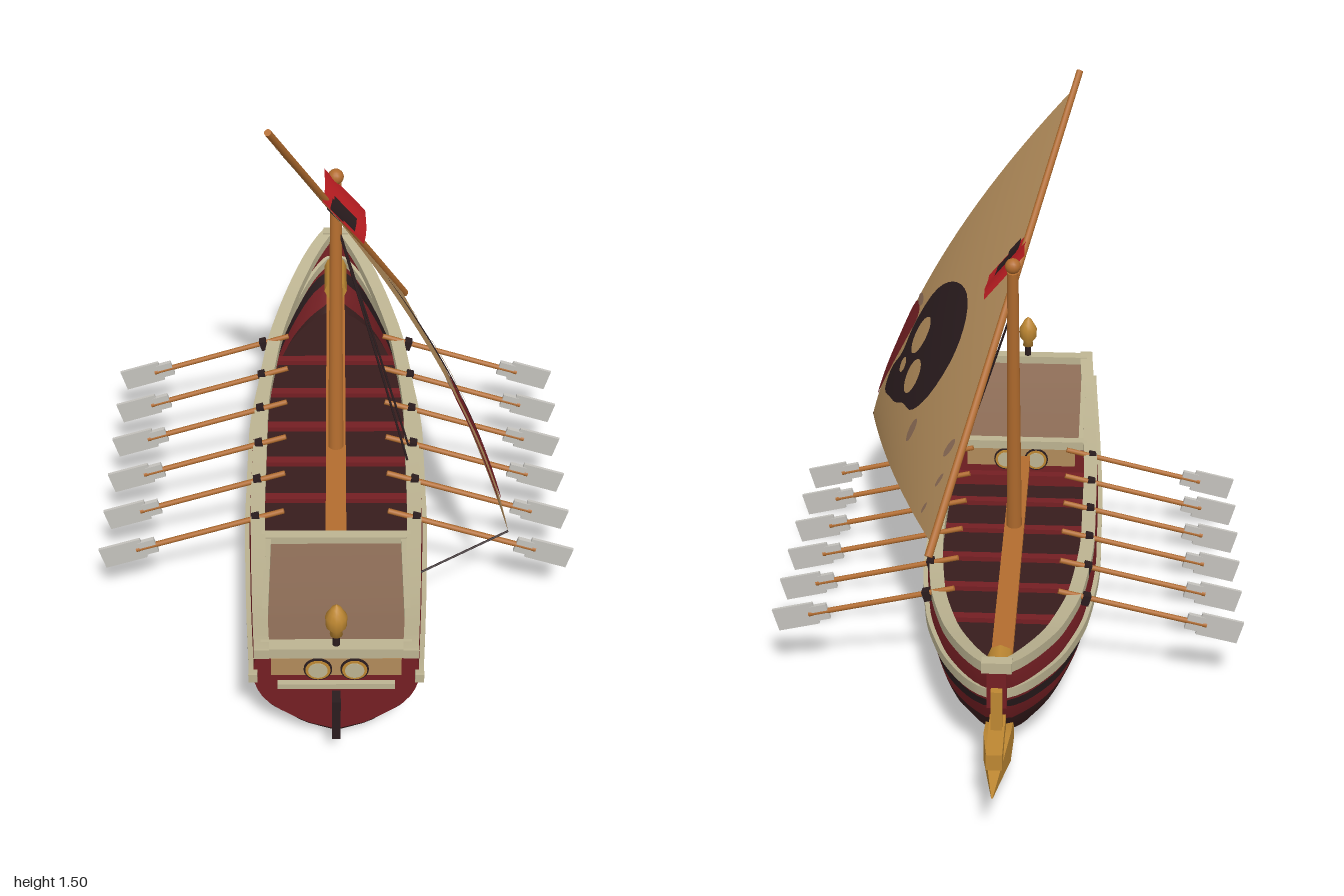
import * as THREE from 'three';
import { toCreasedNormals } from 'three/addons/utils/BufferGeometryUtils.js';

const paint = (name, color) => Object.assign(new THREE.MeshStandardMaterial({ color, side: THREE.DoubleSide }), { name });

// Smooth monotone interpolation through [position, value] pairs, ascending
function table(pts) {
  const slope = i => (pts[i + 1][1] - pts[i][1]) / (pts[i + 1][0] - pts[i][0]);
  const tangent = i => {
    if (i === 0) return slope(0);
    if (i === pts.length - 1) return slope(i - 1);
    const a = slope(i - 1), b = slope(i);
    return a * b <= 0 ? 0 : 2 * a * b / (a + b);
  };
  return p => {
    if (p <= pts[0][0]) return pts[0][1];
    if (p >= pts[pts.length - 1][0]) return pts[pts.length - 1][1];
    let i = 0;
    while (p > pts[i + 1][0]) i++;
    const d = pts[i + 1][0] - pts[i][0], t = (p - pts[i][0]) / d, u = 1 - t;
    return pts[i][1] * u * u * (1 + 2 * t) + pts[i + 1][1] * t * t * (3 - 2 * t)
      + d * t * u * (tangent(i) * u - tangent(i + 1) * t);
  };
}

// Surface from a rule f(u, v) -> [x, y, z]
function grid(nu, nv, f) {
  const pos = [], index = [];
  for (let i = 0; i <= nu; i++) for (let j = 0; j <= nv; j++) pos.push(...f(i / nu, j / nv));
  for (let i = 0; i < nu; i++) for (let j = 0; j < nv; j++) {
    const a = i * (nv + 1) + j, b = a + nv + 1;
    index.push(a, b, a + 1, b, b + 1, a + 1);
  }
  const g = new THREE.BufferGeometry();
  g.setAttribute('position', new THREE.Float32BufferAttribute(pos, 3));
  g.setIndex(index);
  g.computeVertexNormals();
  return g;
}

// Hull lines by z: half width, keel height, sheer height; section fullness by relative height
const STERN = 0.96, BOW = -0.79;
const halfWidth = table([[-0.79, 0.02], [-0.75, 0.05], [-0.65, 0.103], [-0.5, 0.16], [-0.3, 0.208], [0, 0.235], [0.3, 0.235], [0.6, 0.225], [0.8, 0.215], [0.96, 0.205]]);
const keel = table([[-0.79, 0.35], [-0.78, 0.3], [-0.75, 0.23], [-0.7, 0.15], [-0.63, 0.08], [-0.54, 0.02], [-0.45, 0.004], [0.8, 0.004], [0.87, 0.012], [0.92, 0.035], [0.96, 0.08]]);
const sheer = table([[-0.79, 0.39], [-0.7, 0.368], [-0.5, 0.325], [-0.2, 0.298], [0.2, 0.295], [0.5, 0.305], [0.75, 0.325], [0.96, 0.36]]);
const fullness = table([[0, 0], [0.1, 0.39], [0.17, 0.53], [0.33, 0.81], [0.5, 0.95], [0.67, 1], [0.83, 0.98], [1, 0.89]]);
const hullX = (y, z) => halfWidth(z) * fullness((y - keel(z)) / (sheer(z) - keel(z)));

// Sail corners and its bellied surface x(y, z)
const PEAK = [-0.15, 1.46, 0.405], TACK = [0.19, 0.475, -0.37], CLEW = [0.445, 0.37, 0.545];
function sailX(y, z) {
  const [, ya, za] = PEAK, [, yb, zb] = TACK, [, yc, zc] = CLEW;
  const d = (yb - yc) * (za - zc) + (zc - zb) * (ya - yc);
  const a = ((yb - yc) * (z - zc) + (zc - zb) * (y - yc)) / d;
  const b = ((yc - ya) * (z - zc) + (za - zc) * (y - yc)) / d;
  const c = 1 - a - b, t = a + b > 1e-5 ? b / (a + b) : 0;
  return a * PEAK[0] + b * TACK[0] + c * CLEW[0] + 0.32 * c * (1 - c) * (1 - 0.75 * t * t);
}

export function createModel() {
  const model = new THREE.Group();
  const red = paint('hull red', 0x741f23), bottom = paint('dark maroon', 0x371c1c), dark = paint('black brown', 0x2a1c1e),
    cream = paint('cream trim', 0xbcb391), wood = paint('orange wood', 0xb26c2e), gold = paint('gold', 0xbd8732),
    cloth = paint('sail cloth', 0xb18b5a), deckBrown = paint('deck brown', 0x8c6c56), grey = paint('blade grey', 0xc4c2bd),
    flagRed = paint('flag red', 0xbd1d22);

  const add = (name, geometry, material, x = 0, y = 0, z = 0, parent = model) => {
    const m = new THREE.Mesh(geometry, material);
    m.name = name;
    m.position.set(x, y, z);
    parent.add(m);
    return m;
  };
  const box = (name, w, h, d, material, x, y, z, parent) => add(name, new THREE.BoxGeometry(w, h, d), material, x, y, z, parent);
  const rod = (name, from, to, r0, r1, material, sides = 10) => {
    const a = new THREE.Vector3(...from), b = new THREE.Vector3(...to), dir = b.clone().sub(a);
    const m = add(name, new THREE.CylinderGeometry(r1, r0, dir.length(), sides), material);
    m.position.copy(a.add(b).multiplyScalar(0.5));
    m.quaternion.setFromUnitVectors(new THREE.Vector3(0, 1, 0), dir.normalize());
    return m;
  };

  // Hull planking in painted bands, both sides
  const waterline = z => 0.15 + 0.4 * Math.max(0, sheer(z) - 0.3);
  const bands = [
    ['hullBottom', keel, waterline, 10, bottom],
    ['lowerPlanking', waterline, z => sheer(z) - 0.14, 2, red],
    ['darkStripe', z => sheer(z) - 0.14, z => sheer(z) - 0.113, 1, dark],
    ['upperPlanking', z => sheer(z) - 0.113, sheer, 4, red],
  ];
  for (const side of [1, -1]) {
    for (const [name, low, high, rows, material] of bands) {
      add(name, grid(60, rows, (u, v) => {
        const z = THREE.MathUtils.lerp(STERN, BOW, side > 0 ? u : 1 - u);
        const y0 = Math.max(keel(z), low(z)), y1 = Math.max(keel(z), high(z));
        const y = y0 + (y1 - y0) * v;
        return [side * hullX(y, z), y, z];
      }), material);
    }
    // Square-section rail and wale following the hull
    for (const [name, drop, w, h] of [['topRail', 0, 0.019, 0.014], ['wale', 0.083, 0.011, 0.013]]) {
      const corners = [[-1, -1], [1, -1], [1, 1], [-1, 1], [-1, -1]];
      add(name, toCreasedNormals(grid(60, 4, (u, v) => {
        const z = THREE.MathUtils.lerp(0.978, BOW, u), [cx, cy] = corners[Math.round(v * 4)], y = sheer(z) - drop;
        return [side * (hullX(y, z) + cx * w), y + cy * h, z];
      }), 0.6), cream);
      box(name + 'End', w * 2, h * 2, 0.006, cream, side * hullX(sheer(STERN) - drop, STERN), sheer(STERN) - drop, 0.977);
    }
    box('innerRail', 0.016, 0.018, 0.42, cream, side * 0.178, 0.328, 0.72).rotation.x = -0.11;
  }

  // Stern: transom, trim, panel, rudder
  add('transom', grid(2, 12, (u, v) => {
    const y = keel(STERN) + (sheer(STERN) - keel(STERN)) * v;
    return [(u * 2 - 1) * hullX(y, STERN), y, STERN];
  }), red);
  box('sternRail', 0.37, 0.03, 0.035, cream, 0, 0.357, 0.957);
  box('transomStrip', 0.29, 0.016, 0.02, cream, 0, 0.245, 0.965);
  box('rudder', 0.022, 0.13, 0.045, dark, 0, 0.15, 0.977);
  // Raised deck and its bulkhead
  add('sternDeck', grid(14, 1, (u, v) => {
    const z = 0.5 + 0.45 * u, y = sheer(z) - 0.008;
    return [(v * 2 - 1) * (hullX(y, z) - 0.005), y, z];
  }), deckBrown);
  add('bulkhead', grid(2, 6, (u, v) => {
    const y = 0.1 + 0.195 * v;
    return [(u * 2 - 1) * hullX(y, 0.5), y, 0.5];
  }), red);
  box('deckBeam', 0.39, 0.026, 0.028, cream, 0, 0.306, 0.5);
  // Panels with round lights at both ends of the raised deck
  for (const [z, y, out] of [[0.963, 0.305, 1], [0.496, 0.262, -1]]) {
    box('lightPanel', 0.32, 0.056, 0.008, cloth, 0, y, z);
    for (const x of [-0.045, 0.045]) {
      add('lightRing', new THREE.CylinderGeometry(0.035, 0.035, 0.012, 20), dark, x, y - 0.005, z + out * 0.003).rotation.x = Math.PI / 2;
      add('lightFrame', new THREE.CylinderGeometry(0.031, 0.031, 0.014, 20), gold, x, y - 0.005, z + out * 0.004).rotation.x = Math.PI / 2;
      add('lightGlass', new THREE.CylinderGeometry(0.024, 0.024, 0.016, 20), cream, x, y - 0.005, z + out * 0.005).rotation.x = Math.PI / 2;
    }
  }
  // Stern lantern
  rod('lanternPole', [0, 0.35, 0.955], [0, 0.42, 0.955], 0.01, 0.01, dark);
  const lantern = [[0, 0.4], [0.016, 0.405], [0.014, 0.42], [0.026, 0.435], [0.027, 0.465], [0.018, 0.48], [0.012, 0.492], [0, 0.503]];
  add('lantern', new THREE.LatheGeometry(lantern.map(p => new THREE.Vector2(...p)), 12), gold, 0, 0, 0.955);

  // Hold: floor, gangway, benches
  add('holdFloor', grid(30, 1, (u, v) => {
    const z = 0.5 - 1.2 * u, y = Math.max(0.16, keel(z) + 0.01);
    return [(v * 2 - 1) * hullX(y, z), y, z];
  }), bottom);
  box('gangway', 0.055, 0.022, 1.14, wood, 0, 0.262, -0.09);
  add('gangwayHead', new THREE.CylinderGeometry(0.034, 0.034, 0.13, 8), gold, 0, 0.3, -0.675).rotation.x = Math.PI / 2;

  // Oars
  for (let i = 0; i < 6; i++) {
    const z = -0.34 + 0.153 * i;
    box('bench', hullX(0.24, z) * 2 - 0.01, 0.014, 0.026, red, 0, 0.24, z - 0.005);
    for (const side of [1, -1]) {
      const oar = new THREE.Group();
      oar.name = 'oar';
      oar.position.set(side * 0.2, 0.312, z);
      oar.rotation.order = 'YZX';
      oar.rotation.set(0, side > 0 ? -0.07 : Math.PI + 0.07, -0.275);
      model.add(oar);
      add('oarShaft', new THREE.CylinderGeometry(0.0075, 0.0075, 0.41, 8), wood, 0.14, 0, 0, oar).rotation.z = Math.PI / 2;
      box('oarNeck', 0.045, 0.045, 0.012, grey, 0.312, 0, 0, oar);
      box('oarBlade', 0.115, 0.066, 0.008, grey, 0.382, 0, 0, oar);
      box('oarlock', 0.02, 0.03, 0.024, dark, 0.012, -0.004, 0, oar);
    }
  }

  // Bow: stem, ram and its supports
  box('stem', 0.05, 0.13, 0.022, red, 0, 0.335, -0.782);
  box('stemCap', 0.075, 0.03, 0.03, cream, 0, 0.39, -0.782);
  box('bowPost', 0.028, 0.13, 0.025, gold, 0, 0.265, -0.8);
  box('bowBlock', 0.04, 0.045, 0.17, gold, 0, 0.195, -0.83);
  // Ram: rectangular sections tapering to a point
  const ramSections = [[-0.64, 0.068, 0.13, 0.035], [-0.78, 0.1, 0.185, 0.034], [-0.9, 0.132, 0.17, 0.017], [-1, 0.153, 0.157, 0.002]];
  const ramCorners = [[-1, 1], [1, 1], [1, 2], [-1, 2], [-1, 1]];
  add('ram', toCreasedNormals(grid(3, 4, (u, v) => {
    const s = ramSections[Math.round(u * 3)], [cx, cy] = ramCorners[Math.round(v * 4)];
    return [cx * s[3], s[cy], s[0]];
  }), 0.5), gold);
  rod('ramBrace', [0, 0.012, -0.53], [0, 0.075, -0.66], 0.01, 0.01, cream);

  // Mast, yard and rigging
  rod('mast', [0, 0.1, 0.1], [0, 1.09, 0], 0.023, 0.015, wood, 14);
  add('mastBall', new THREE.SphereGeometry(0.021, 14, 10), wood, 0, 1.108, 0);
  rod('yard', [-0.16, 1.5, 0.415], [0.2, 0.453, -0.39], 0.009, 0.011, wood);
  rod('stay', [0, 0.98, 0.012], [0.2, 0.31, 0.13], 0.003, 0.003, dark, 6);
  rod('stay', [0, 0.98, 0.012], [0.195, 0.31, 0.19], 0.003, 0.003, dark, 6);
  rod('sheetRope', CLEW, [0.21, 0.3, 0.63], 0.003, 0.003, dark, 6);

  // Sail
  add('sail', grid(24, 24, (t, r) => {
    const [y, z] = [1, 2].map(k => (PEAK[k] + (TACK[k] - PEAK[k]) * t) * (1 - r) + CLEW[k] * r);
    return [sailX(y, z), y, z];
  }), cloth);
  // Painted patches on both faces: outline of [z, y] shrunk in rings to a centre
  const patch = (name, outline, [cz, cy], lift, material) => {
    const curve = new THREE.CatmullRomCurve3(outline.map(([z, y]) => new THREE.Vector3(0, y, z)), true);
    for (const face of [1, -1]) add(name, grid(48, 6, (u, v) => {
      const p = curve.getPoint(u), y = cy + (p.y - cy) * v, z = cz + (p.z - cz) * v;
      return [sailX(y, z) + face * lift, y, z];
    }), material);
  };
  const spot = (name, z, y, rz, ry, lift, material) => patch(name, Array.from({ length: 8 }, (_, i) =>
    [z + rz * Math.cos(i * Math.PI / 4), y + ry * Math.sin(i * Math.PI / 4)]), [z, y], lift, material);
  patch('paintedSkull', [[0.42, 0.52], [0.43, 0.58], [0.39, 0.655], [0.4, 0.735], [0.375, 0.86], [0.31, 0.917], [0.22, 0.93],
    [0.14, 0.885], [0.085, 0.795], [0.085, 0.68], [0.14, 0.6], [0.22, 0.58], [0.28, 0.55], [0.34, 0.535]], [0.26, 0.7], 0.004, dark);
  spot('skullEye', 0.308, 0.75, 0.04, 0.055, 0.008, cloth);
  spot('skullEye', 0.23, 0.66, 0.042, 0.05, 0.008, cloth);
  spot('skullNose', 0.33, 0.645, 0.02, 0.022, 0.008, cloth);
  patch('redPatch', [[0.485, 0.77], [0.445, 0.785], [0.405, 0.765], [0.41, 0.68], [0.445, 0.57], [0.48, 0.5], [0.515, 0.455],
    [0.523, 0.51], [0.5, 0.64]], [0.465, 0.64], 0.004, red);
  for (const [z, y, rz, ry] of [[0.45, 0.795, 0.032, 0.014], [-0.16, 0.65, 0.014, 0.026], [0.08, 0.57, 0.018, 0.035], [-0.21, 0.58, 0.008, 0.02], [-0.22, 0.5, 0.007, 0.016]])
    spot('stain', z, y, rz, ry, 0.004, deckBrown);

  // Flag, leaning with the sail, with a dark mark
  const flag = (name, z0, z1, y0, y1, lift, material) => add(name, grid(12, 6, (u, v) => {
    const z = z0 + (z1 - z0) * u, y = y0 + (y1 - y0) * v + 0.006 * Math.sin(z * 40);
    return [-0.03 + (1.135 - y) * 0.82 + lift + 0.006 * Math.sin(z * 35), y, z];
  }), material);
  flag('flag', 0.005, 0.162, 1.005, 1.135, 0, flagRed);
  for (const lift of [0.004, -0.004]) {
    flag('flagMark', 0.09, 0.15, 1.04, 1.11, lift, dark);
    flag('flagMark', 0.105, 0.165, 1.075, 1.115, lift, dark);
  }
  return model;
}
